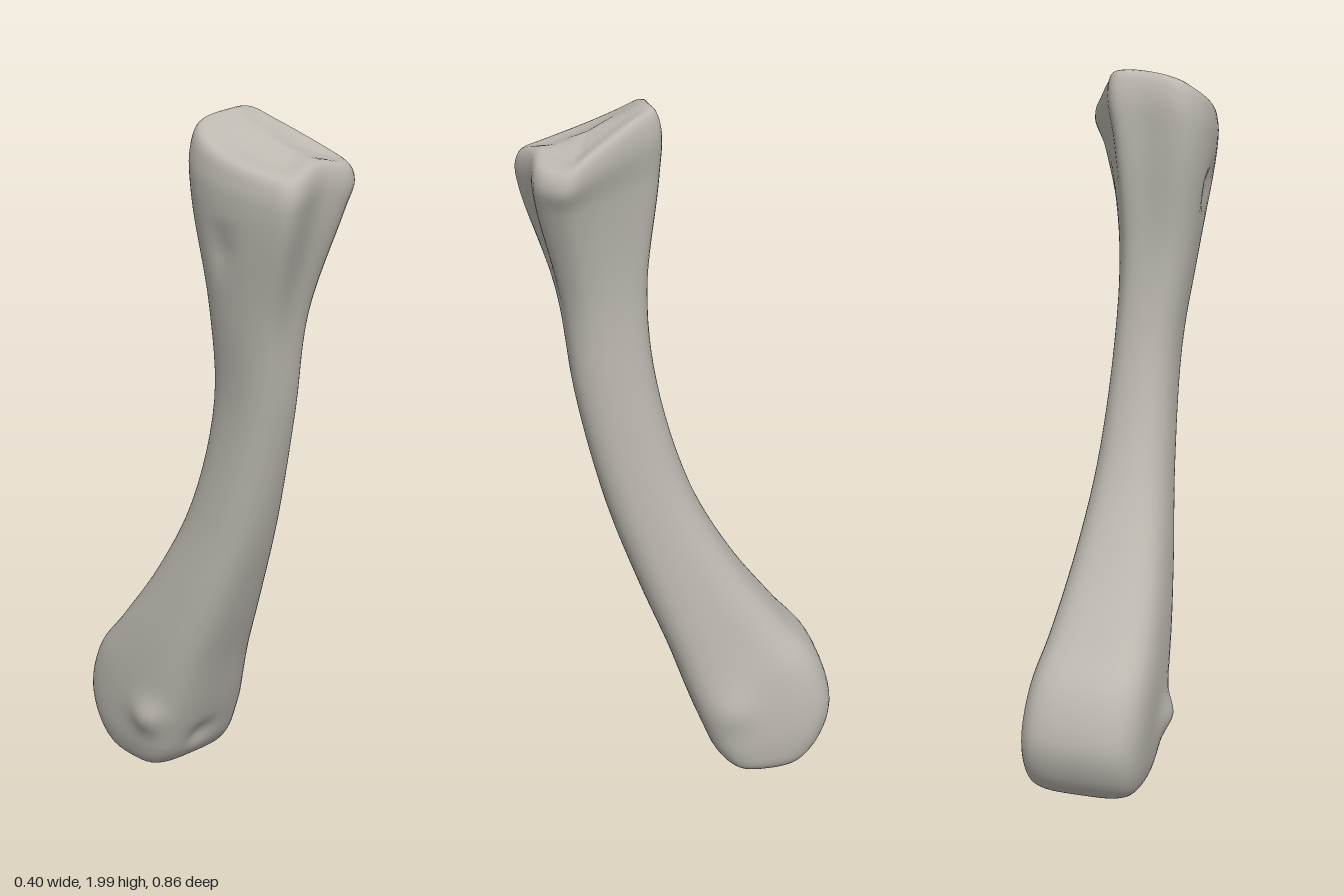
import * as THREE from 'three';
import { mergeVertices } from 'three/addons/utils/BufferGeometryUtils.js';

const { lerp, smoothstep } = THREE.MathUtils;
const SIDES = 12, AROUND = 60, STEPS = 6;

// Outline of the upper joint face: [across, front-back], both -1..1
const JOINT = [
  [0.82, 0], [1, 0.45], [0.68, 0.83], [0.05, 0.86], [-0.65, 1], [-0.86, 0.6],
  [-1, -0.2], [-0.93, -0.7], [-0.7, -0.98], [-0.1, -0.98], [0.32, -1], [0.53, -0.6],
];

// Cross-sections from the lower end up: front z, front y, back z, back y, x min, x max
const SECTIONS = [
  [-0.22, 0.005, -0.22, 0.005, 0.02, 0.02],
  [-0.17, 0.01, -0.28, 0.012, -0.07, 0.13],
  [-0.115, 0.035, -0.345, 0.045, -0.125, 0.18],
  [-0.075, 0.08, -0.4, 0.115, -0.148, 0.195],
  [-0.035, 0.17, -0.427, 0.22, -0.16, 0.197],
  [0, 0.26, -0.385, 0.36, -0.165, 0.185],
  [0.05, 0.4, -0.285, 0.48, -0.16, 0.158],
  [0.13, 0.6, -0.147, 0.665, -0.142, 0.128],
  [0.22, 0.86, -0.02, 0.9, -0.117, 0.098],
  [0.3, 1.2, 0.071, 1.215, -0.112, 0.074],
  [0.342, 1.48, 0.095, 1.49, -0.152, 0.083],
  [0.42, 1.75, 0.07, 1.8, -0.195, 0.15],
  [0.43, 1.84, 0.067, 1.945, -0.197, 0.18],
  [0.412, 1.88, 0.09, 1.998, -0.18, 0.165],
  [0.34, 1.895, 0.16, 1.968, -0.1, 0.085],
  [0.25, 1.93, 0.25, 1.93, -0.01, -0.01],
];

// Local swellings and hollows: centre x, y, z, radius, push along x, push along z
const BUMPS = [
  [-0.165, 0.21, -0.11, 0.055, -0.028, 0.005], // knob on the right of the head
  [0.18, 0.24, -0.12, 0.06, 0.014, 0],         // knob on the left of the head
  [0, 0.13, -0.05, 0.04, 0, -0.018],           // pit above the front edge
  [-0.19, 1.665, 0.22, 0.035, 0.022, 0],       // notch under the upper joint
];

function sectionPoint([fz, fy, bz, by, x0, x1], i) {
  const a = (i / SIDES) * Math.PI * 2;
  const y = (fy + by) / 2;
  // The lower head is boxy, the shaft rounder, the top takes the joint outline
  const power = 2 / lerp(3.6, 2.4, smoothstep(y, 0.15, 0.9));
  const round = (t) => Math.sign(t) * Math.abs(t) ** power;
  const share = smoothstep(y, 1.2, 1.85);
  const u = lerp(round(Math.cos(a)), JOINT[i][0], share);
  const v = lerp(round(Math.sin(a)), JOINT[i][1], share);
  // The joint face falls away towards its sides
  const drop = 0.12 * (x1 - x0) * smoothstep(fy, 1.7, 1.85);
  return new THREE.Vector3(
    (x0 + x1) / 2 + ((x1 - x0) / 2) * u,
    y + ((fy - by) / 2) * v - drop * u * u,
    (fz + bz) / 2 + ((fz - bz) / 2) * v,
  );
}

function applyBumps(p) {
  const base = p.clone();
  for (const [x, y, z, r, dx, dz] of BUMPS) {
    const k = Math.exp(-base.distanceToSquared(new THREE.Vector3(x, y, z)) / (r * r));
    p.x += dx * k;
    p.z += dz * k;
  }
  p.y = Math.max(p.y, 0);
  return p;
}

// Smooth skin: curves run along the length, then around each ring
function boneGeometry() {
  const columns = Array.from({ length: SIDES }, (_, i) =>
    new THREE.CatmullRomCurve3(SECTIONS.map((s) => sectionPoint(s, i))));
  const rows = (SECTIONS.length - 1) * STEPS;
  const positions = [], index = [];
  for (let j = 0; j <= rows; j++) {
    const ring = new THREE.CatmullRomCurve3(columns.map((c) => c.getPoint(j / rows)), true);
    for (let i = 0; i < AROUND; i++) {
      positions.push(...applyBumps(ring.getPoint(i / AROUND)).toArray());
      if (j === rows) continue;
      const a = j * AROUND + i, b = j * AROUND + ((i + 1) % AROUND);
      const c = a + AROUND, d = b + AROUND;
      if (j > 0) index.push(a, c, b);
      if (j < rows - 1) index.push(b, c, d);
    }
  }
  const skin = new THREE.BufferGeometry();
  skin.setAttribute('position', new THREE.Float32BufferAttribute(positions, 3));
  skin.setIndex(index);
  const merged = mergeVertices(skin, 1e-5);
  merged.computeVertexNormals();
  return merged;
}

export function createModel() {
  const group = new THREE.Group();
  group.name = 'footBone';
  const boneGrey = new THREE.MeshStandardMaterial({ color: 0xbcb8b0 });
  boneGrey.name = 'bone grey';
  const mesh = new THREE.Mesh(boneGeometry(), boneGrey);
  mesh.name = 'boneShaftAndJoints';
  group.add(mesh);
  return group;
}
